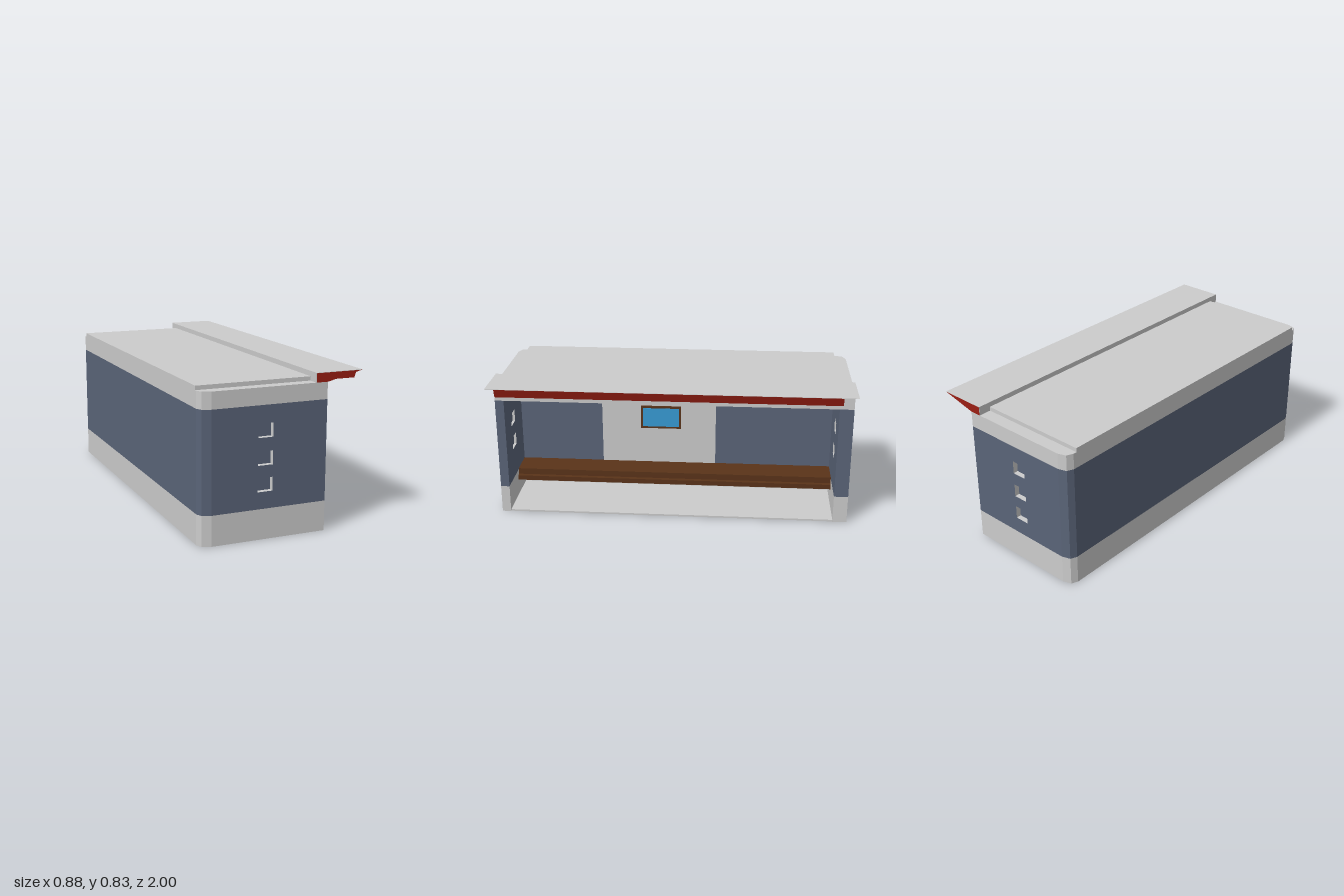
import * as THREE from 'three';

const mat = (color) => new THREE.MeshStandardMaterial({ color, flatShading: true });

export function createModel() {
  const model = new THREE.Group();
  const grey = mat(0xcccccc), blue = mat(0x5a6478), red = mat(0x9b1f14);
  const brown = mat(0x5a3319), sky = mat(0x379bd4);

  const add = (name, geometry, material) => {
    const mesh = new THREE.Mesh(geometry, material);
    mesh.name = name;
    model.add(mesh);
    return mesh;
  };
  // Box given by its limits on each axis
  const box = (name, material, [x0, x1], [y0, y1], [z0, z1]) =>
    add(name, new THREE.BoxGeometry(x1 - x0, y1 - y0, z1 - z0), material)
      .position.set((x0 + x1) / 2, (y0 + y1) / 2, (z0 + z1) / 2);
  // Floor plan of [x, z] points raised from y0 to y1
  const slab = (name, material, plan, y0, y1) => {
    const shape = new THREE.Shape(plan.map(([x, z]) => new THREE.Vector2(x, -z)));
    const geo = new THREE.ExtrudeGeometry(shape, { depth: y1 - y0, bevelEnabled: false });
    add(name, geo.rotateX(-Math.PI / 2).translate(0, y0, 0), material);
  };
  // Side profile of [x, y] points drawn out from z0 to z1
  const prism = (name, material, profile, z0, z1, holes = []) => {
    const toVec = (pts) => pts.map(([x, y]) => new THREE.Vector2(x, y));
    const shape = new THREE.Shape(toVec(profile));
    shape.holes = holes.map((h) => new THREE.Path(toVec(h)));
    const geo = new THREE.ExtrudeGeometry(shape, { depth: z1 - z0, bevelEnabled: false });
    add(name, geo.translate(0, 0, z0), material);
  };
  const rect = (x0, x1, y0, y1) => [[x0, y0], [x1, y0], [x1, y1], [x0, y1]];

  const back = -0.445, front = 0.243, inner = -0.165;
  const inL = 0.95, inR = -0.92;       // inside faces of the end walls
  const low = 0.16, high = 0.69, top = 0.778;
  const outDepth = 0.028, inDepth = 0.015, post = 0.233;

  // Outline with bevelled back corners
  const corner = (s) => [[back, 0.95 * s], [-0.43, 0.985 * s], [-0.385, s]];
  const outline = [...corner(-1).reverse(), ...corner(1)];
  const room = [[front, inL], [inner, inL], [inner, inR], [front, inR]];

  // Lower and upper bands, floor
  slab('lowerWalls', grey, [...outline, [front, 1], ...room, [front, -1]], 0, low);
  slab('ceilingBand', grey, [...outline, [front, 1], [front, -1]], high, top);
  box('floor', grey, [inner, front - 0.004], [0, 0.01], [inR, inL]);

  // Middle band, recessed on both faces of the end walls for the window panels
  const o = 1 - outDepth;
  slab('middleWalls', blue, [
    ...outline, [-0.385, o], [post, o], [post, 1], [front, 1],
    [front, inL], [post, inL], [post, inL + inDepth], [inner, inL + inDepth],
    [inner, inR - inDepth], [post, inR - inDepth], [post, inR], [front, inR],
    [front, -1], [post, -1], [post, -o], [-0.385, -o],
  ], low, high);

  // End wall panels with small square windows
  const outerHoles = [0.285, 0.421, 0.562].map((y) => rect(-0.137, -0.055, y - 0.036, y + 0.036));
  const innerHoles = [0.37, 0.515].map((y) => rect(0.01, 0.1, y - 0.036, y + 0.036));
  const panel = [blue, grey];
  const outer = rect(-0.385, post, low, high), inside = rect(inner, post, low, high);
  prism('leftOuterPanel', panel, outer, o, 1, outerHoles);
  prism('rightOuterPanel', panel, outer, -1, -o, outerHoles);
  prism('leftInnerPanel', panel, inside, inL, inL + inDepth, innerHoles);
  prism('rightInnerPanel', panel, inside, inR - inDepth, inR, innerHoles);

  // Back wall centre panel and framed picture
  box('centrePanel', grey, [inner, inner + 0.003], [low, high], [-0.23, 0.455]);
  box('pictureFrame', brown, [inner, inner + 0.014], [0.39, 0.53], [-0.02, 0.22]);
  box('picture', sky, [inner, inner + 0.016], [0.402, 0.518], [-0.008, 0.208]);

  // Bench: seat over a slightly deeper rail
  box('benchSeat', brown, [inner, 0], [0.13, 0.166], [inR, inL]);
  box('benchRail', brown, [inner, 0.02], [0.1, 0.128], [inR, inL]);

  // Roof slab
  box('roof', grey, [back, 0.18], [top, 0.8], [-0.93, 0.94]);

  // Awning: long middle with undercut ends, grey top and rear
  const eave = 0.825;
  prism('awning', red, [[0.18, top], [0.425, top], [0.44, eave], [0.18, eave]], inR, inL);
  const tip = [[0.18, top], [0.245, top], [0.44, eave], [0.18, eave]];
  prism('awningLeftEnd', red, tip, inL, 1);
  prism('awningRightEnd', red, tip, -1, inR);
  box('awningTop', grey, [0.178, 0.44], [eave, eave + 0.002], [-1, 1]);
  box('awningRear', grey, [0.178, 0.18], [top, eave], [-1, 1]);

  return model;
}
